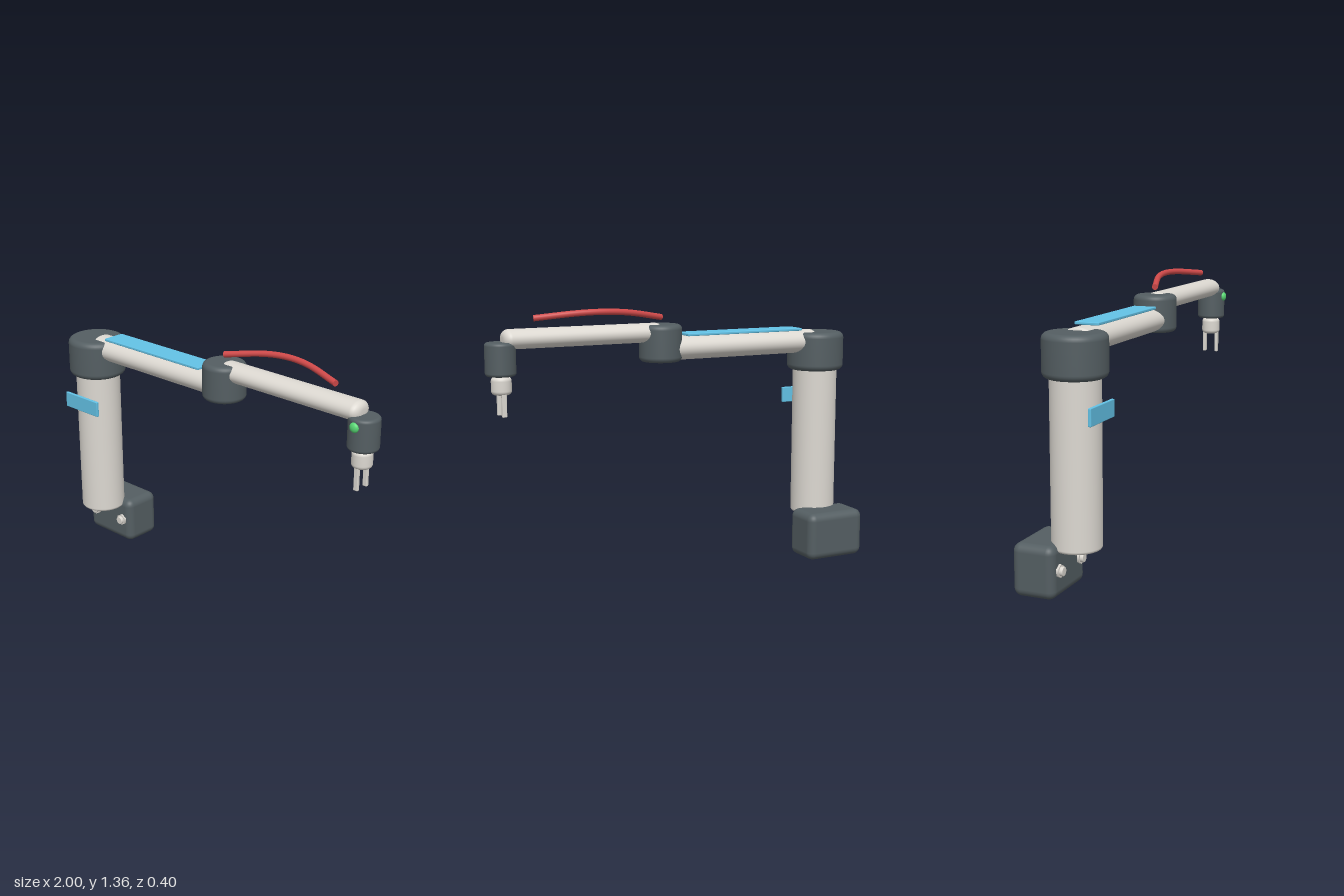
import * as THREE from 'three';
import { RoundedBoxGeometry } from 'three/addons/geometries/RoundedBoxGeometry.js';

const mat = (name, color) => {
  const m = new THREE.MeshStandardMaterial({ color });
  m.name = name;
  return m;
};

// Upright solid cylinder with rounded rims, standing on y = 0
function roundedCylinder(r, h, rim) {
  const pts = [new THREE.Vector2(0, 0)];
  const arc = (cy, from) => {
    for (let i = 0; i <= 6; i++) {
      const a = from + (i / 6) * Math.PI / 2;
      pts.push(new THREE.Vector2(r - rim + rim * Math.cos(a), cy + rim * Math.sin(a)));
    }
  };
  arc(rim, -Math.PI / 2);
  arc(h - rim, 0);
  pts.push(new THREE.Vector2(0, h));
  return new THREE.LatheGeometry(pts, 48);
}

// Oval arm tube running along x from x0 to x1
function armTube(x0, x1, halfHeight, halfWidth, rim) {
  return roundedCylinder(halfHeight, x1 - x0, rim)
    .rotateZ(-Math.PI / 2)
    .scale(1, 1, halfWidth / halfHeight)
    .translate(x0, 0, 0);
}

export function createModel() {
  const shell = mat('lightShell', 0xdcd8d1);
  const dark = mat('darkJoint', 0x545e62);
  const blue = mat('bluePanel', 0x63c2e6);
  const red = mat('redCable', 0xd04a4a);
  const green = mat('greenLamp', 0x58d874);

  const model = new THREE.Group();
  model.name = 'robotArm';
  const add = (name, geo, material, x = 0, y = 0, z = 0, parent = model) => {
    const m = new THREE.Mesh(geo, material);
    m.name = name;
    m.position.set(x, y, z);
    parent.add(m);
    return m;
  };
  const Z = 0.05; // centre plane of the arm

  // Base block with two bolts
  add('baseBlock', new RoundedBoxGeometry(0.333, 0.25, 0.21, 4, 0.04), dark, -0.8335, 0.125, -0.095);
  for (const x of [-0.938, -0.728]) {
    const bolt = new THREE.Group();
    bolt.name = 'baseBolt';
    bolt.position.set(x, 0.13, 0.008);
    bolt.rotation.x = Math.PI / 2;
    model.add(bolt);
    add('hexFlange', new THREE.CylinderGeometry(0.032, 0.032, 0.012, 6), shell, 0, 0.006, 0, bolt);
    add('boltHead', roundedCylinder(0.022, 0.018, 0.004), shell, 0, 0.01, 0, bolt);
  }

  // Column and shoulder
  add('column', roundedCylinder(0.117, 0.84, 0.015), shell, -0.835, 0.211, Z);
  add('columnBand', new RoundedBoxGeometry(0.247, 0.082, 0.016, 2, 0.004), blue, -0.832, 0.842, 0.173);
  add('shoulder', roundedCylinder(0.149, 0.203, 0.03), dark, -0.835, 0.99, Z);

  // Upper arm and elbow
  add('upperArm', armTube(-0.805, 0.08, 0.061, 0.084, 0.015), shell, 0, 1.145, Z - 0.005);
  add('upperArmPanel', new RoundedBoxGeometry(0.672, 0.014, 0.12, 2, 0.004), blue, -0.373, 1.212, Z - 0.005);
  add('elbow', roundedCylinder(0.108, 0.187, 0.025), dark, 0.087, 1.08, Z - 0.001);

  // Forearm and wrist
  add('forearm', armTube(0.085, 0.916, 0.048, 0.064, 0.035), shell, 0, 1.227, Z - 0.003);
  add('wrist', roundedCylinder(0.074, 0.16, 0.016), dark, 0.925, 1.055, Z);
  add('statusLamp', new THREE.SphereGeometry(0.024, 24, 16), green, 0.923, 1.177, Z + 0.072).scale.z = 0.65;

  // Gripper
  add('gripperMount', roundedCylinder(0.049, 0.087, 0.02), shell, 0.923, 0.966, Z);
  for (const s of [-1, 1]) {
    add('finger', new RoundedBoxGeometry(0.024, 0.125, 0.017, 2, 0.004), shell, 0.923, 0.925, Z + s * 0.0345);
  }

  // Loose cable over the forearm, closed by discs at both ends
  const path = new THREE.CatmullRomCurve3([
    [0.085, 1.302, 0.048], [0.29, 1.336, -0.014], [0.42, 1.345, -0.028],
    [0.55, 1.342, -0.014], [0.757, 1.321, 0.048],
  ].map((p) => new THREE.Vector3(...p)));
  const cable = new THREE.Group();
  cable.name = 'cable';
  model.add(cable);
  add('cableTube', new THREE.TubeGeometry(path, 48, 0.015, 16), red, 0, 0, 0, cable);
  for (const [t, dir] of [[0, -1], [1, 1]]) {
    const p = path.getPointAt(t);
    const cap = add('cableEnd', new THREE.CircleGeometry(0.015, 16), red, p.x, p.y, p.z, cable);
    cap.quaternion.setFromUnitVectors(new THREE.Vector3(0, 0, 1), path.getTangentAt(t).multiplyScalar(dir));
  }

  return model;
}
